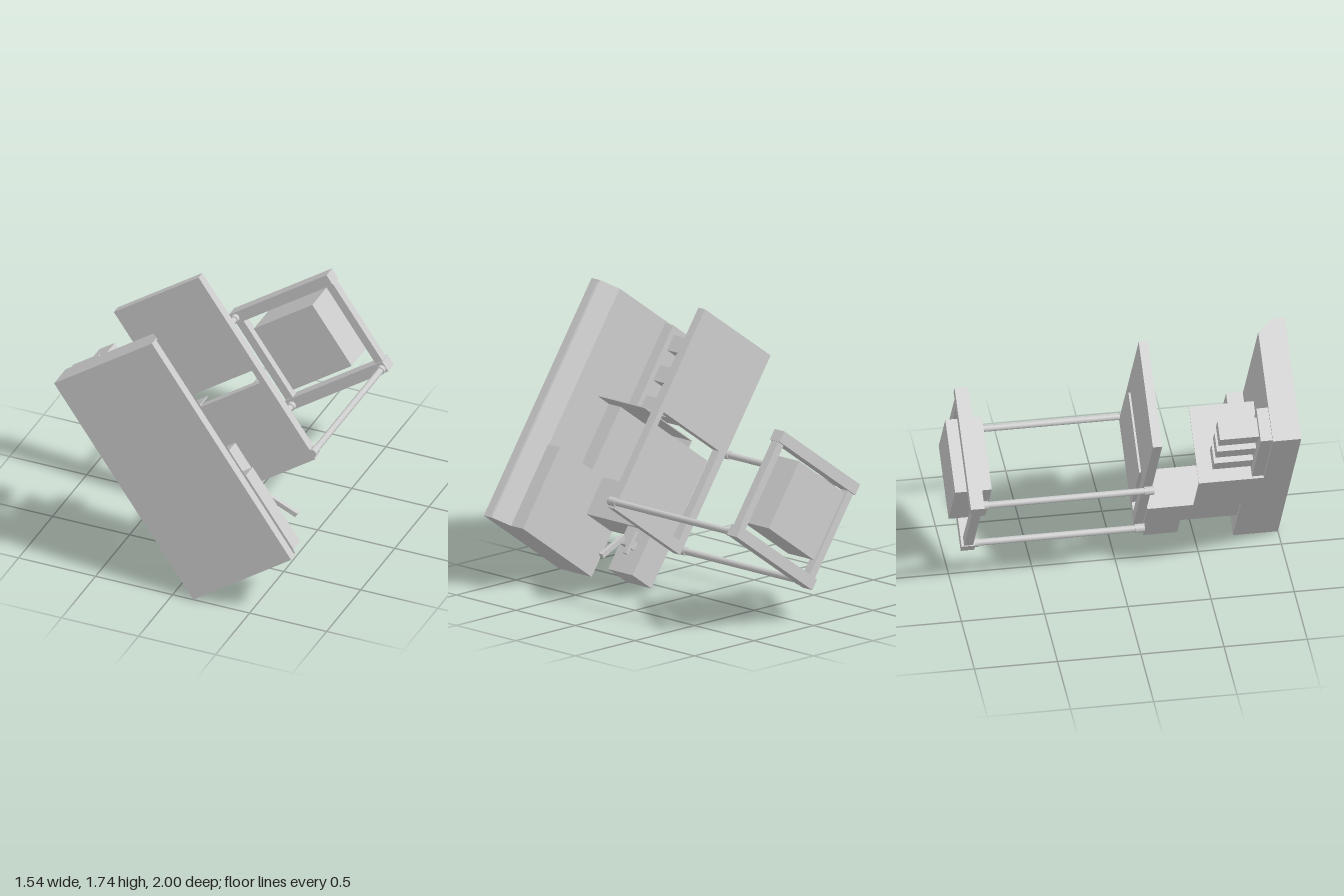
import * as THREE from 'three';

export function createModel() {
  const root = new THREE.Group();
  root.name = 'model';
  const mat = new THREE.MeshStandardMaterial({ color: 0xcccccc, flatShading: true });
  const smooth = new THREE.MeshStandardMaterial({ color: 0xcccccc });

  // Everything is built upright in its own frame, then tilted about z
  const body = new THREE.Group();
  body.name = 'tiltedAssembly';
  body.rotation.z = THREE.MathUtils.degToRad(35);
  body.position.y = 0.872;
  root.add(body);

  const add = (name, geo, m = mat) => {
    const mesh = new THREE.Mesh(geo, m);
    mesh.name = name;
    body.add(mesh);
    return mesh;
  };
  // Box given by its limits on each axis
  const box = (name, x0, x1, y0, y1, z0, z1) => {
    const mesh = add(name, new THREE.BoxGeometry(x1 - x0, y1 - y0, z1 - z0));
    mesh.position.set((x0 + x1) / 2, (y0 + y1) / 2, (z0 + z1) / 2);
    return mesh;
  };
  const cylinder = (name, r, x, y, z0, z1) => {
    const mesh = add(name, new THREE.CylinderGeometry(r, r, z1 - z0, 24), smooth);
    mesh.rotation.x = Math.PI / 2;
    mesh.position.set(x, y, (z0 + z1) / 2);
  };

  // Front housing: flat face, slot open on one side, tapered back
  const W = 0.3875, H = 0.788;
  box('frontFace', -W, W, -H, H, 0.945, 1);
  box('slotSideWall', -W, -W + 0.01, -H, H, 0.93, 0.945);
  box('slotTopWall', -W, W, H - 0.01, H, 0.93, 0.945);
  box('slotBottomWall', -W, W, -H, -H + 0.01, 0.93, 0.945);
  const taper = new THREE.BoxGeometry(2 * W, 2 * H, 0.1);
  const p = taper.attributes.position;
  for (let i = 0; i < p.count; i++) {
    if (p.getX(i) > 0 && p.getZ(i) < 0) p.setX(i, W - 0.08);
  }
  taper.computeVertexNormals();
  add('taperedBack', taper).position.z = 0.88;

  // Raised layers behind the housing
  box('lowerCase', -W, 0.315, -H, -0.248, 0.73, 0.83);
  box('middleCase', -W, -0.015, -0.248, 0.174, 0.73, 0.83);
  box('upperStrip', -0.375, -0.166, 0.174, 0.774, 0.76, 0.83);

  // Row of three blocks joined by a bar
  for (let i = 0; i < 3; i++) {
    const top = 0.727 - 0.2 * i;
    box('rowBlock', -0.327, -0.205, top - 0.1, top, 0.525, 0.76);
  }
  box('rowBar', -0.29, -0.23, 0.227, 0.627, 0.64, 0.70);

  // Thin angled bracket
  box('bracketShelf', -0.39, 0.097, 0.17, 0.176, 0.44, 0.83);
  box('bracketSide', -0.39, -0.382, -0.246, 0.17, 0.44, 0.73);

  // Square beam to the middle plate
  box('beam', -0.37, -0.123, -0.49, -0.246, 0.17, 0.73);

  // Gearbox with crank hub, arm and lever
  box('gearbox', -0.34, -0.148, -0.778, -0.49, 0.195, 0.4);
  box('crankHub', -0.148, -0.06, -0.63, -0.58, 0.265, 0.325);
  box('crankArm', -0.083, -0.059, -0.68, -0.53, 0.235, 0.265);
  const lever = add('lever', new THREE.BoxGeometry(0.2, 0.03, 0.028));
  lever.position.set(0.015, -0.68, 0.29);
  lever.rotation.z = THREE.MathUtils.degToRad(-59);

  // Middle plate: solid upper half, framed panel below
  const z0 = 0.112, z1 = 0.168;
  box('upperPlate', -0.36, 0.312, 0.13, 0.793, z0, z1);
  box('plateSideBar', 0.27, 0.312, -0.53, 0.13, z0, z1);
  box('plateSideBar', -0.36, -0.3, -0.53, 0.13, z0, z1);
  box('plateBottomBar', -0.36, 0.312, -0.53, -0.46, z0, z1);
  box('lowerPanel', -0.24, 0.27, -0.46, 0.04, z0, z1);

  // Three long rods with collars at both ends
  for (const [x, y] of [[-0.397, 0.147], [-0.397, -0.49], [0.315, -0.49]]) {
    cylinder('rod', 0.02, x, y, -0.86, 0.17);
    cylinder('rodCollar', 0.026, x, y, 0.112, 0.17);
    cylinder('rodCollar', 0.026, x, y, -0.86, -0.825);
  }

  // Rear frame
  box('rearTopBar', -0.43, 0.345, 0.11, 0.18, -0.935, -0.853);
  box('rearBottomBar', -0.43, 0.345, -0.52, -0.45, -0.935, -0.853);
  for (const x of [-0.398, 0.313]) {
    box('rearSideBar', x - 0.027, x + 0.027, -0.45, 0.11, -0.92, -0.866);
  }

  // Rear box held in the frame
  box('rearBox', -0.272, 0.192, -0.38, 0.065, -1, -0.78);

  return root;
}
